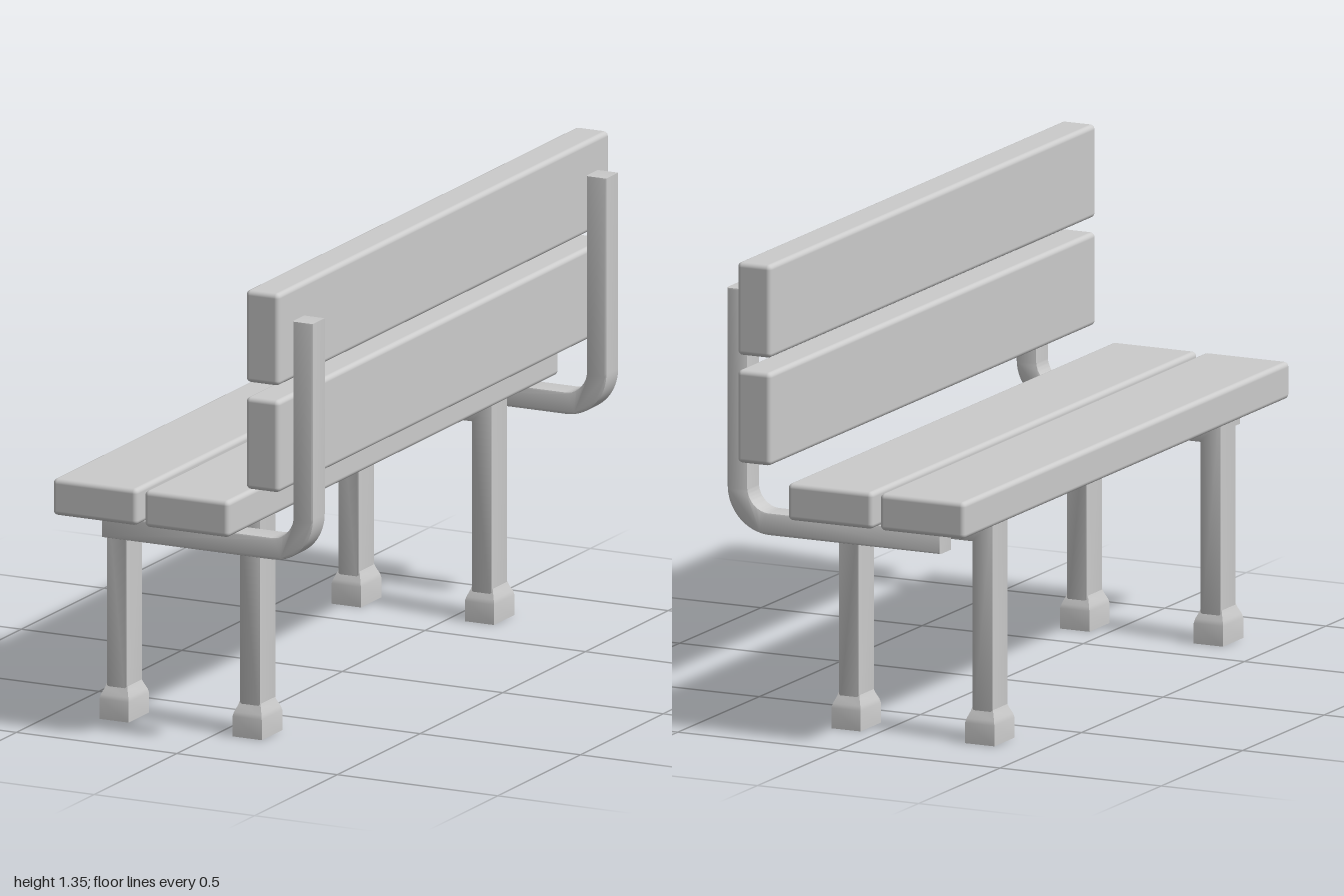
import * as THREE from 'three';
import { RoundedBoxGeometry } from 'three/addons/geometries/RoundedBoxGeometry.js';
import { toCreasedNormals } from 'three/addons/utils/BufferGeometryUtils.js';

const material = new THREE.MeshStandardMaterial({ color: 0xcccccc });

function addMesh(parent, name, geometry, x = 0, y = 0, z = 0) {
  const mesh = new THREE.Mesh(geometry, material);
  mesh.name = name;
  mesh.position.set(x, y, z);
  parent.add(mesh);
  return mesh;
}

// Side profile in x/y, extruded along z and centred, with slightly softened edges
function extrudeBar(shape, width) {
  const bevel = 0.006;
  const geometry = new THREE.ExtrudeGeometry(shape, {
    depth: width - 2 * bevel, curveSegments: 10,
    bevelEnabled: true, bevelSize: bevel, bevelOffset: -bevel, bevelThickness: bevel, bevelSegments: 2,
  });
  geometry.translate(0, 0, bevel - width / 2);
  return toCreasedNormals(geometry, 0.7);
}

// L-shaped bracket with a rounded bend, carrying seat and backrest
function bracketGeometry() {
  const s = new THREE.Shape();
  s.moveTo(-0.275, 0.568);
  s.lineTo(0.256, 0.568);
  s.absarc(0.256, 0.698, 0.13, -Math.PI / 2, 0, false);
  s.lineTo(0.386, 1.26);
  s.lineTo(0.322, 1.26);
  s.lineTo(0.322, 0.698);
  s.absarc(0.256, 0.698, 0.066, 0, -Math.PI / 2, true);
  s.lineTo(-0.275, 0.632);
  s.closePath();
  return extrudeBar(s, 0.075);
}

// Pair of legs joined by a crossbar under the seat
function legFrameGeometry() {
  const s = new THREE.Shape();
  [[-0.35, 0.05], [-0.285, 0.05], [-0.285, 0.57], [0.065, 0.57], [0.065, 0.05],
    [0.13, 0.05], [0.13, 0.637], [-0.35, 0.637]]
    .forEach(([x, y], i) => (i ? s.lineTo(x, y) : s.moveTo(x, y)));
  s.closePath();
  return extrudeBar(s, 0.097);
}

// Four-sided flared foot
function footGeometry() {
  const profile = [[0, 0], [1, 0], [1, 0.058], [0.94, 0.07], [0.78, 0.088], [0.7, 0.1]]
    .map(([r, y]) => new THREE.Vector2(r * Math.SQRT2, y));
  const geometry = new THREE.LatheGeometry(profile, 4);
  geometry.rotateY(Math.PI / 4);
  geometry.scale(0.0455, 1, 0.062);
  return toCreasedNormals(geometry, 0.8);
}

export function createModel() {
  const bench = new THREE.Group();
  bench.name = 'bench';

  // Planks run the full length along z
  const seatPlank = new RoundedBoxGeometry(0.264, 0.105, 2, 3, 0.014);
  const backPlank = new RoundedBoxGeometry(0.105, 0.264, 2, 3, 0.014);
  addMesh(bench, 'frontSeatPlank', seatPlank, -0.257, 0.688, 0);
  addMesh(bench, 'rearSeatPlank', seatPlank, 0.029, 0.688, 0);
  addMesh(bench, 'lowerBackPlank', backPlank, 0.265, 0.915, 0);
  addMesh(bench, 'upperBackPlank', backPlank, 0.265, 1.221, 0);

  // Metalwork repeats at both ends
  const bracket = bracketGeometry();
  const legFrame = legFrameGeometry();
  const foot = footGeometry();
  for (const side of [-1, 1]) {
    addMesh(bench, 'bracket', bracket, 0, 0, side * 0.887);
    addMesh(bench, 'legFrame', legFrame, 0, 0, side * 0.7);
    for (const x of [-0.3175, 0.0975]) addMesh(bench, 'foot', foot, x, 0, side * 0.702);
  }
  return bench;
}
